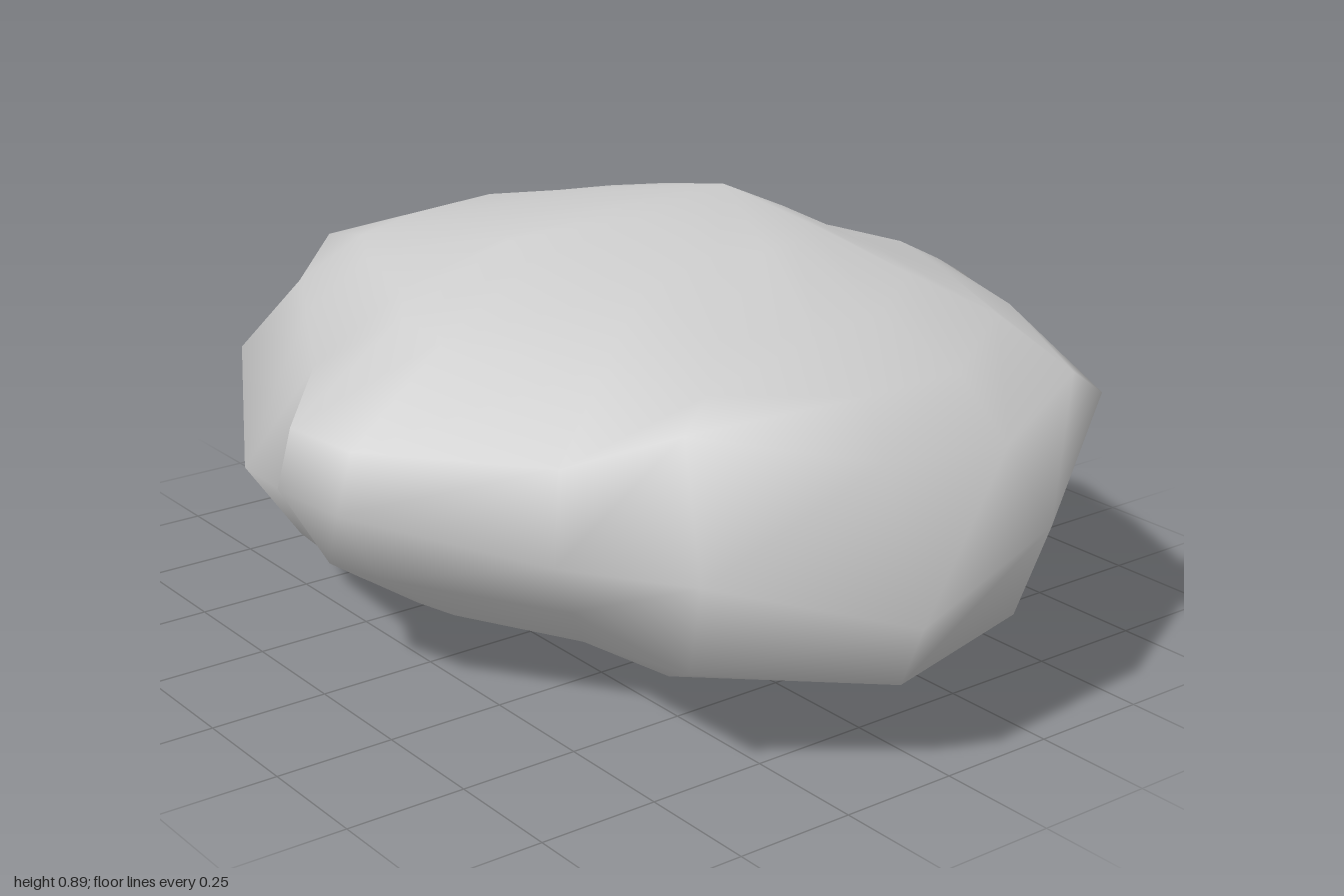
import * as THREE from 'three';

// One row per direction around the boulder, counter-clockwise seen from above:
// rim x, rim z, rim y, shoulder scale, shoulder y, underside scale, underside y, crown y
const SPOKES = [
  [1.0, 0.08, 0.32, 0.87, 0.6, 0.94, 0.185, 0.72],
  [0.96, -0.28, 0.42, 0.9, 0.56, 0.93, 0.22, 0.725],
  [0.74, -0.64, 0.55, 0.94, 0.59, 0.8, 0.23, 0.75],
  [0.42, -0.74, 0.6, 0.96, 0.64, 0.9, 0.25, 0.76],
  [0.2, -0.77, 0.65, 0.92, 0.69, 0.93, 0.26, 0.765],
  [-0.08, -0.75, 0.57, 0.93, 0.67, 0.9, 0.19, 0.765],
  [-0.4, -0.8, 0.43, 0.88, 0.62, 0.82, 0.13, 0.74],
  [-0.73, -0.72, 0.44, 0.92, 0.58, 0.81, 0.165, 0.74],
  [-0.99, -0.4, 0.5, 0.93, 0.61, 0.9, 0.25, 0.775],
  [-1.0, -0.12, 0.54, 0.95, 0.65, 0.9, 0.175, 0.785],
  [-0.92, 0.2, 0.46, 0.95, 0.66, 0.93, 0.18, 0.79],
  [-0.89, 0.42, 0.43, 0.83, 0.61, 0.9, 0.19, 0.79],
  [-0.51, 0.63, 0.3, 0.82, 0.65, 0.86, 0.15, 0.825],
  [-0.22, 0.7, 0.35, 0.9, 0.61, 0.8, 0.145, 0.835],
  [-0.06, 0.8, 0.43, 0.96, 0.55, 0.87, 0.25, 0.85],
  [0.11, 0.77, 0.42, 0.95, 0.54, 0.87, 0.26, 0.83],
  [0.47, 0.52, 0.37, 0.94, 0.55, 0.8, 0.22, 0.785],
  [0.83, 0.46, 0.44, 0.81, 0.66, 0.88, 0.22, 0.725],
];
const BOTTOM = new THREE.Vector3(-0.07, 0, 0);
const TOP = new THREE.Vector3(0.02, 0.895, -0.24);

// Points of one spoke, from underside to crown; the crown rings lean toward the peak
function spokePoints([x, z, yRim, fs, ys, fl, yl, ym]) {
  const mix = THREE.MathUtils.lerp;
  const flat = (f, y) => new THREE.Vector3(x * f, y, z * f);
  const crown = (f, y) => flat(f, y).add(new THREE.Vector3(TOP.x, 0, TOP.z).multiplyScalar(1 - f));
  return [
    flat(0.32, yl * 0.12 + Math.max(0, x) * 0.05),
    flat(0.63, yl * 0.48),
    flat(fl, yl),
    flat(1, yRim),
    flat(fs, ys),
    crown(0.73, mix(ys, ym, 0.6)),
    crown(0.5, ym),
    crown(0.24, mix(ym, TOP.y, 0.55)),
  ];
}

function boulderGeometry() {
  const n = SPOKES.length;
  const columns = SPOKES.map(spokePoints);
  const rings = columns[0].length;
  const points = [BOTTOM];
  for (let j = 0; j < rings; j++) points.push(...columns.map((column) => column[j]));
  points.push(TOP);

  // Skin the rings and close both ends with fans
  const index = [];
  const last = points.length - 1;
  const at = (j, i) => 1 + j * n + (i % n);
  for (let i = 0; i < n; i++) {
    index.push(0, at(0, i + 1), at(0, i));
    for (let j = 0; j < rings - 1; j++) {
      const a = at(j, i), b = at(j, i + 1), c = at(j + 1, i + 1), d = at(j + 1, i);
      index.push(a, b, c, a, c, d);
    }
    index.push(at(rings - 1, i), at(rings - 1, i + 1), last);
  }
  const geometry = new THREE.BufferGeometry().setFromPoints(points);
  geometry.setIndex(index);
  geometry.computeVertexNormals();
  return geometry;
}

export function createModel() {
  const group = new THREE.Group();
  group.name = 'rock';
  const boulder = new THREE.Mesh(
    boulderGeometry(),
    new THREE.MeshStandardMaterial({ color: 0xcccccc })
  );
  boulder.name = 'boulder';
  group.add(boulder);
  return group;
}
